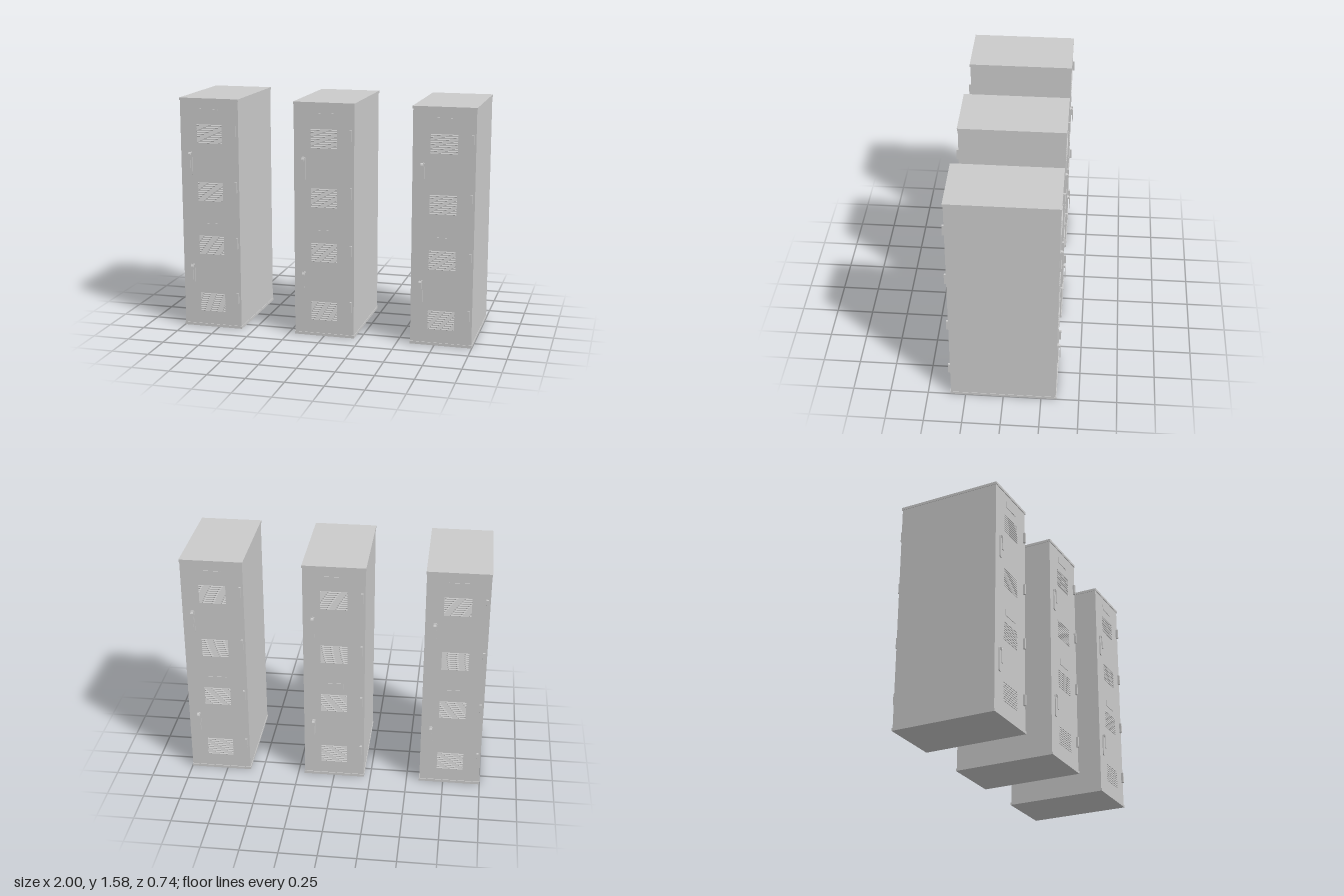
import * as THREE from 'three';

const mat = new THREE.MeshStandardMaterial({ color: 0xcccccc, flatShading: true });
const FACE = 0.347; // z of the door surface

function box(parent, name, w, h, d, x, y, z) {
  const m = new THREE.Mesh(new THREE.BoxGeometry(w, h, d), mat);
  m.name = name;
  m.position.set(x, y, z);
  parent.add(m);
  return m;
}

// Extrudes a side profile of [z, y] points along x, centred on x
function profileBar(parent, name, pts, w, x, y, z) {
  const shape = new THREE.Shape(pts.map(([pz, py]) => new THREE.Vector2(-pz, py)));
  const g = new THREE.ExtrudeGeometry(shape, { depth: w, bevelEnabled: false });
  g.translate(0, 0, -w / 2);
  g.rotateY(Math.PI / 2);
  const m = new THREE.Mesh(g, mat);
  m.name = name;
  m.position.set(x, y, z);
  parent.add(m);
}

// Rounded upright back plate with a bent pull hanging from its top
function addHandle(parent, y) {
  const handle = new THREE.Group();
  handle.name = 'handle';
  handle.position.set(-0.14, y, FACE);
  const w = 0.014, h = 0.08, s = new THREE.Shape();
  s.moveTo(-w, -h + 0.01);
  s.quadraticCurveTo(-w, -h, 0, -h);
  s.quadraticCurveTo(w, -h, w, -h + 0.01);
  s.lineTo(w, h - 0.01);
  s.quadraticCurveTo(w, h, 0, h);
  s.quadraticCurveTo(-w, h, -w, h - 0.01);
  const plate = new THREE.Mesh(
    new THREE.ExtrudeGeometry(s, { depth: 0.007, bevelEnabled: false, curveSegments: 4 }), mat);
  plate.name = 'handlePlate';
  handle.add(plate);
  profileBar(handle, 'handlePull', [
    [0.005, 0.076], [0.016, 0.073], [0.021, 0.064], [0.021, -0.03],
    [0.016, -0.03], [0.016, 0.055], [0.005, 0.06],
  ], 0.018, 0, 0, 0);
  parent.add(handle);
}

// Stack of small sloping louvres
function addVent(parent, y) {
  const vent = new THREE.Group();
  vent.name = 'vent';
  for (let i = 0; i < 9; i++) {
    profileBar(vent, 'louvre', [[-0.002, 0.005], [0.004, -0.004], [0.003, -0.005], [-0.002, -0.004]],
      0.176, 0, y + (i - 4) * 0.0148, FACE);
  }
  parent.add(vent);
}

// Everything fitted to one door face
function doorFittings() {
  const g = new THREE.Group();
  g.name = 'doorFittings';
  [1.345, 0.95, 0.58, 0.175].forEach((y) => addVent(g, y));
  [1.37, 0.987, 0.6, 0.215].forEach((y) =>
    box(g, 'hinge', 0.014, 0.072, 0.018, 0.183, y, FACE + 0.006));
  [1.14, 0.36].forEach((y) => addHandle(g, y));
  [1.49, 0.71].forEach((y) =>
    box(g, 'numberPlate', 0.13, 0.042, 0.007, 0, y, FACE));
  return g;
}

function locker() {
  const g = new THREE.Group();
  g.name = 'locker';
  box(g, 'cabinet', 0.408, 1.55, FACE * 2, 0, 0.79, 0);
  box(g, 'topRim', 0.414, 0.018, 0.704, 0, 1.573, 0);
  box(g, 'baseRim', 0.414, 0.018, 0.704, 0, 0.009, 0);
  // Identical doors front and back
  for (const turn of [0, Math.PI]) {
    const f = doorFittings();
    f.rotation.y = turn;
    g.add(f);
  }
  return g;
}

export function createModel() {
  const root = new THREE.Group();
  root.name = 'lockers';
  for (const x of [-0.793, 0, 0.793]) {
    const l = locker();
    l.position.x = x;
    root.add(l);
  }
  return root;
}
